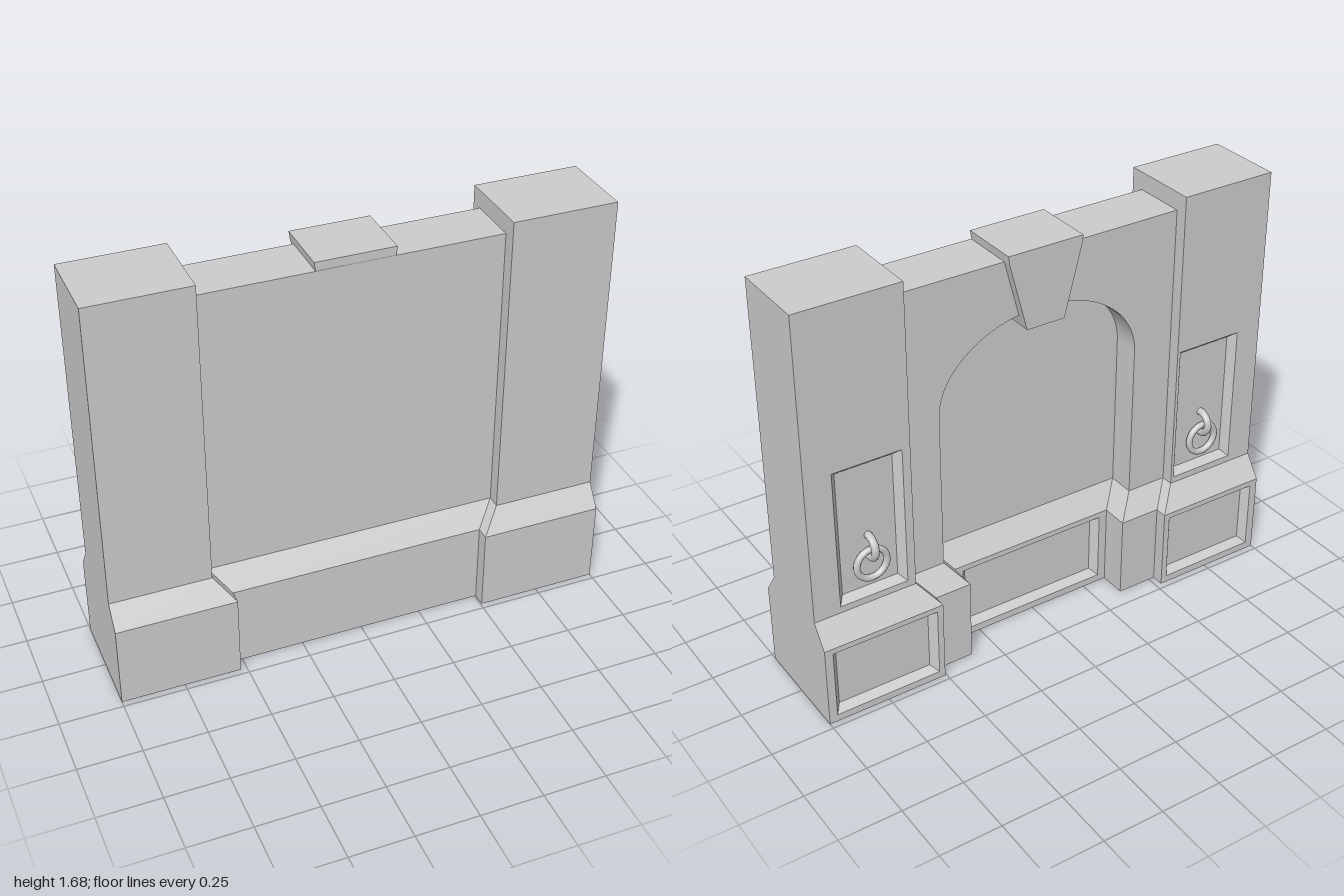
import * as THREE from 'three';

const material = new THREE.MeshStandardMaterial({ color: 0xcccccc, side: THREE.DoubleSide });

// Heights shared by every plinth, and the sloped course above it
const PLINTH = 0.34, SLOPE = 0.43, PILLAR_TOP = 1.68, WALL_TOP = 1.61;
const ARCH_W = 0.43, ARCH_SPRING = 1.07, ARCH_RISE = 0.32;

function add(parent, name, geometry) {
  const mesh = new THREE.Mesh(geometry, material);
  mesh.name = name;
  parent.add(mesh);
  return mesh;
}

// Flat-faced surface joining rows of points; optionally closed and capped by a final quad
function loft(rows, { closed = false, cap = false } = {}) {
  const pos = [];
  const quad = (a, b, c, d) => pos.push(...a, ...b, ...c, ...a, ...c, ...d);
  for (let r = 0; r < rows.length - 1; r++) {
    const lower = rows[r], upper = rows[r + 1], n = lower.length;
    for (let i = 0; i < (closed ? n : n - 1); i++) {
      const j = (i + 1) % n;
      quad(lower[i], lower[j], upper[j], upper[i]);
    }
  }
  if (cap) quad(...rows[rows.length - 1]);
  const geometry = new THREE.BufferGeometry();
  geometry.setAttribute('position', new THREE.Float32BufferAttribute(pos, 3));
  geometry.computeVertexNormals();
  return geometry;
}

// Rectangle facing the back, ordered counter-clockwise as seen from -z
const rect = ([x0, x1, y0, y1], z) => [[x1, y0, z], [x0, y0, z], [x0, y1, z], [x1, y1, z]];
const inset = ([x0, x1, y0, y1], d) => [x0 + d, x1 - d, y0 + d, y1 - d];

// Back face with a bevelled sunken panel
function sunkenFace(face, opening, z, depth = 0.03, bevel = 0.025) {
  const rows = [rect(face, z), rect(opening, z), rect(inset(opening, bevel), z + depth)];
  return loft(rows, { closed: true, cap: true });
}

// Small upright eye with a larger ring hanging through it
function ringPull(x) {
  const group = new THREE.Group();
  group.name = 'ringPull';
  const eye = add(group, 'ringEye', new THREE.TorusGeometry(0.045, 0.015, 10, 24));
  eye.rotation.y = Math.PI / 2;
  eye.position.set(x, 0.66, -0.14);
  const ring = add(group, 'hangingRing', new THREE.TorusGeometry(0.062, 0.013, 10, 28));
  ring.position.set(x, 0.59, -0.152);
  return group;
}

// Pillar on side s (+1 or -1) whose inner edge flares at the plinth
function pillar(s, innerTop, innerBase) {
  const group = new THREE.Group();
  group.name = s > 0 ? 'leftPillar' : 'rightPillar';
  const span = (a, b, y0, y1) => [Math.min(s * a, s * b), Math.max(s * a, s * b), y0, y1];
  const section = (y, inner, z) =>
    [[s, y, -z], [s, y, z], [s * inner, y, z], [s * inner, y, -z]];

  // Front and sides, open underneath, with a flat top
  add(group, 'pillarShell', loft([
    section(0, innerBase, 0.225), section(PLINTH, innerBase, 0.225),
    section(SLOPE, innerTop, 0.16), section(PILLAR_TOP, innerTop, 0.16),
  ], { cap: true }));

  // Back: panelled plinth, slope, panelled shaft
  add(group, 'plinthPanel', sunkenFace(
    span(innerBase, 1, 0, PLINTH), span(innerBase + 0.025, 0.967, 0.03, 0.317), -0.225));
  add(group, 'plinthSlope', loft([
    [[s * innerBase, PLINTH, -0.225], [s, PLINTH, -0.225]],
    [[s * innerTop, SLOPE, -0.16], [s, SLOPE, -0.16]],
  ]));
  add(group, 'shaftPanel', sunkenFace(
    span(innerTop, 1, SLOPE, PILLAR_TOP), span(0.613, 0.892, 0.457, 1.03), -0.16));
  group.add(ringPull(s * 0.752));
  return group;
}

// Wall between the pillars, with a blind arch on its back
function wall(x0, x1) {
  const group = new THREE.Group();
  group.name = 'wall';

  // Front profile swept across the width, ending along the top
  const profile = [[0, 0.17], [PLINTH, 0.17], [SLOPE, 0.105], [WALL_TOP, 0.105], [WALL_TOP, 0]];
  add(group, 'wallFront', loft(profile.map(([y, z]) => [[x0, y, z], [x1, y, z]])));

  // Arched surround
  const shape = new THREE.Shape();
  shape.moveTo(x0, SLOPE);
  shape.lineTo(-ARCH_W, SLOPE);
  shape.lineTo(-ARCH_W, ARCH_SPRING);
  shape.absellipse(0, ARCH_SPRING, ARCH_W, ARCH_RISE, Math.PI, 0, true);
  shape.lineTo(ARCH_W, SLOPE);
  shape.lineTo(x1, SLOPE);
  shape.lineTo(x1, WALL_TOP);
  shape.lineTo(x0, WALL_TOP);
  const arch = new THREE.ExtrudeGeometry(shape, { depth: 0.11, bevelEnabled: false, curveSegments: 28 });
  add(group, 'archSurround', arch.translate(0, 0, -0.11));

  // Flared feet of the arch jambs
  for (const s of [-1, 1]) {
    const outer = s > 0 ? x1 : x0;
    const foot = (y, inner, z) => [[outer, y, z], [s * inner, y, z], [s * inner, y, 0]];
    add(group, 'jambFoot', loft([
      foot(0, 0.355, -0.175), foot(PLINTH, 0.355, -0.175), foot(SLOPE, ARCH_W, -0.11),
    ]));
  }

  // Recessed infill: panelled plinth, slope and plain field
  add(group, 'archPlinth', sunkenFace(
    [-0.36, 0.36, 0, PLINTH], [-0.32, 0.32, 0.03, 0.317], -0.065));
  add(group, 'archField', loft([
    [[-0.36, PLINTH, -0.065], [0.36, PLINTH, -0.065]],
    [[-ARCH_W, SLOPE, 0], [ARCH_W, SLOPE, 0]],
    [[-ARCH_W, 1.4, 0], [ARCH_W, 1.4, 0]],
  ]));
  return group;
}

// Tapered keystone standing proud of the arch and the wall top
function keystoneGeometry() {
  const shape = new THREE.Shape([
    [-0.08, 1.335], [0.08, 1.335], [0.152, WALL_TOP], [0.157, 1.645], [-0.157, 1.645], [-0.152, WALL_TOP],
  ].map(([x, y]) => new THREE.Vector2(x, y)));
  const geometry = new THREE.ExtrudeGeometry(shape, { depth: 0.249, bevelEnabled: false });
  return geometry.translate(0, 0, -0.145);
}

export function createModel() {
  const model = new THREE.Group();
  model.name = 'archedWall';
  model.add(pillar(1, 0.58, 0.505), pillar(-1, 0.6, 0.525), wall(-0.6, 0.58));
  add(model, 'keystone', keystoneGeometry());
  return model;
}
